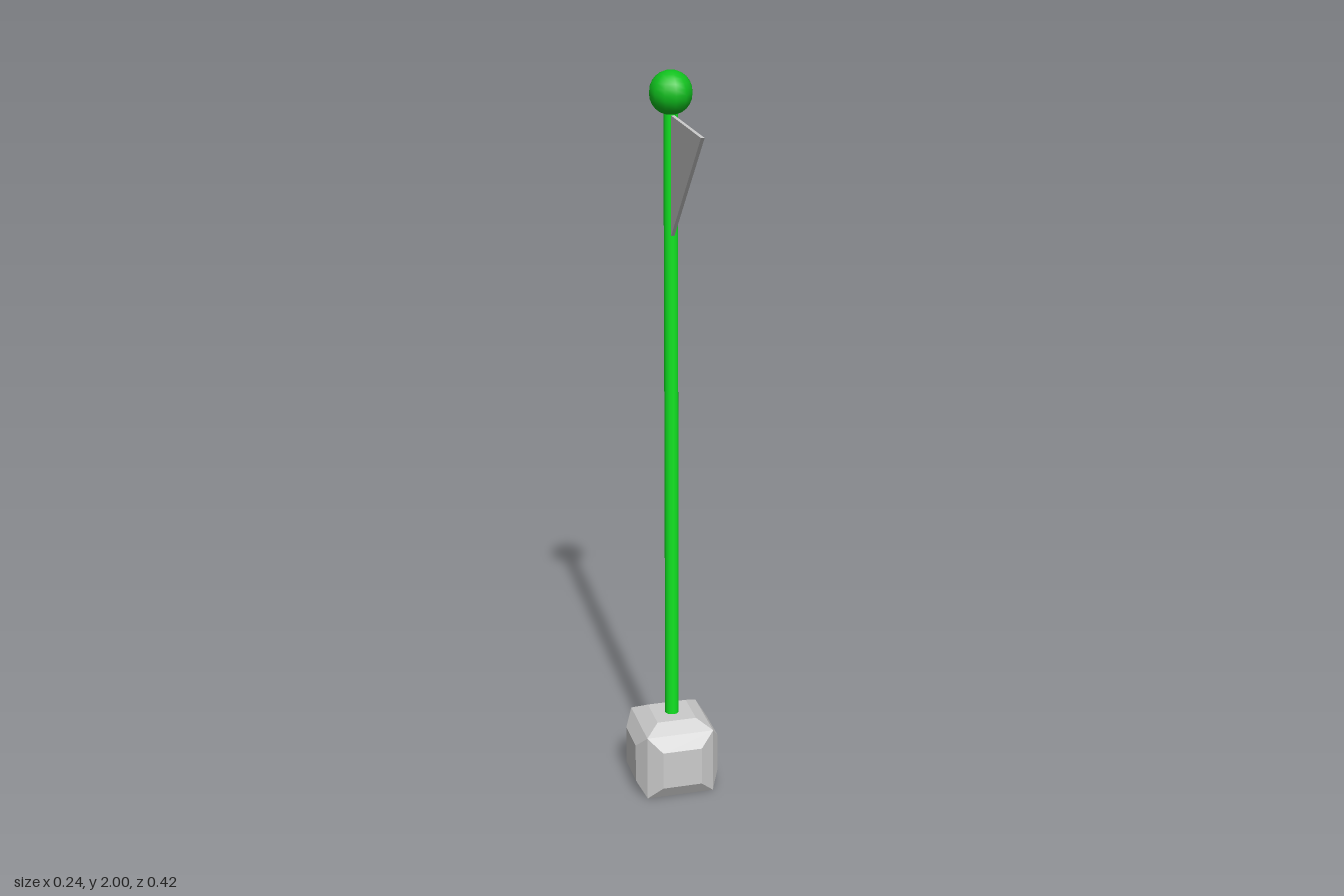
import * as THREE from 'three';

const POLE_Z = -0.092;

// Open-bottomed block: each remaining cube side is raised into a shallow frustum
function blockGeometry(half, inner, reach) {
  const pos = [];
  const quad = (a, b, c, d) => [a, b, c, a, c, d].forEach((p) => pos.push(p.x, p.y, p.z));
  const sides = [[1, 0, 0], [-1, 0, 0], [0, 0, 1], [0, 0, -1], [0, 1, 0]];
  for (const side of sides) {
    const n = new THREE.Vector3(...side);
    const u = n.y ? new THREE.Vector3(1, 0, 0) : new THREE.Vector3(0, 1, 0);
    const v = n.clone().cross(u);
    const square = (s, h) => [[-1, -1], [1, -1], [1, 1], [-1, 1]].map(([i, j]) =>
      n.clone().multiplyScalar(h).addScaledVector(u, i * s).addScaledVector(v, j * s));
    const outer = square(half, half);
    const cap = square(inner, reach);
    quad(...cap);
    for (let i = 0; i < 4; i++) {
      const k = (i + 1) % 4;
      quad(outer[i], outer[k], cap[k], cap[i]);
    }
  }
  const geo = new THREE.BufferGeometry();
  geo.setAttribute('position', new THREE.Float32BufferAttribute(pos, 3));
  geo.computeVertexNormals();
  return geo;
}

export function createModel() {
  const model = new THREE.Group();
  model.name = 'flagpole';

  const add = (name, geometry, material, y = 0, z = 0) => {
    const mesh = new THREE.Mesh(geometry, material);
    mesh.name = name;
    mesh.position.set(0, y, z);
    model.add(mesh);
  };

  const grey = new THREE.MeshStandardMaterial({ color: 0xcccccc, flatShading: true });
  const greyOpen = new THREE.MeshStandardMaterial({ color: 0xcccccc, flatShading: true, side: THREE.DoubleSide });
  const poleGreen = new THREE.MeshStandardMaterial({ color: 0x11e522 });
  const ballGreen = new THREE.MeshStandardMaterial({ color: 0x10c01e });

  // Bevelled base block
  add('base', blockGeometry(0.094, 0.055, 0.118), greyOpen, 0.095, POLE_Z);

  // Pole from the top of the base into the ball
  add('pole', new THREE.CylinderGeometry(0.019, 0.019, 1.72, 12), poleGreen, 1.07, POLE_Z);

  // Ball finial
  add('ball', new THREE.SphereGeometry(0.056, 12, 12), ballGreen, 1.944, POLE_Z);

  // Triangular pennant pointing forward, drawn in (-z, y) and turned onto the pole
  const outline = new THREE.Shape([
    new THREE.Vector2(0.08, 1.575),
    new THREE.Vector2(0.08, 1.89),
    new THREE.Vector2(-0.207, 1.89),
  ]);
  const pennant = new THREE.ExtrudeGeometry(outline, { depth: 0.009, bevelEnabled: false });
  pennant.translate(0, 0, -0.0045).rotateY(Math.PI / 2);
  add('pennant', pennant, grey);

  return model;
}
